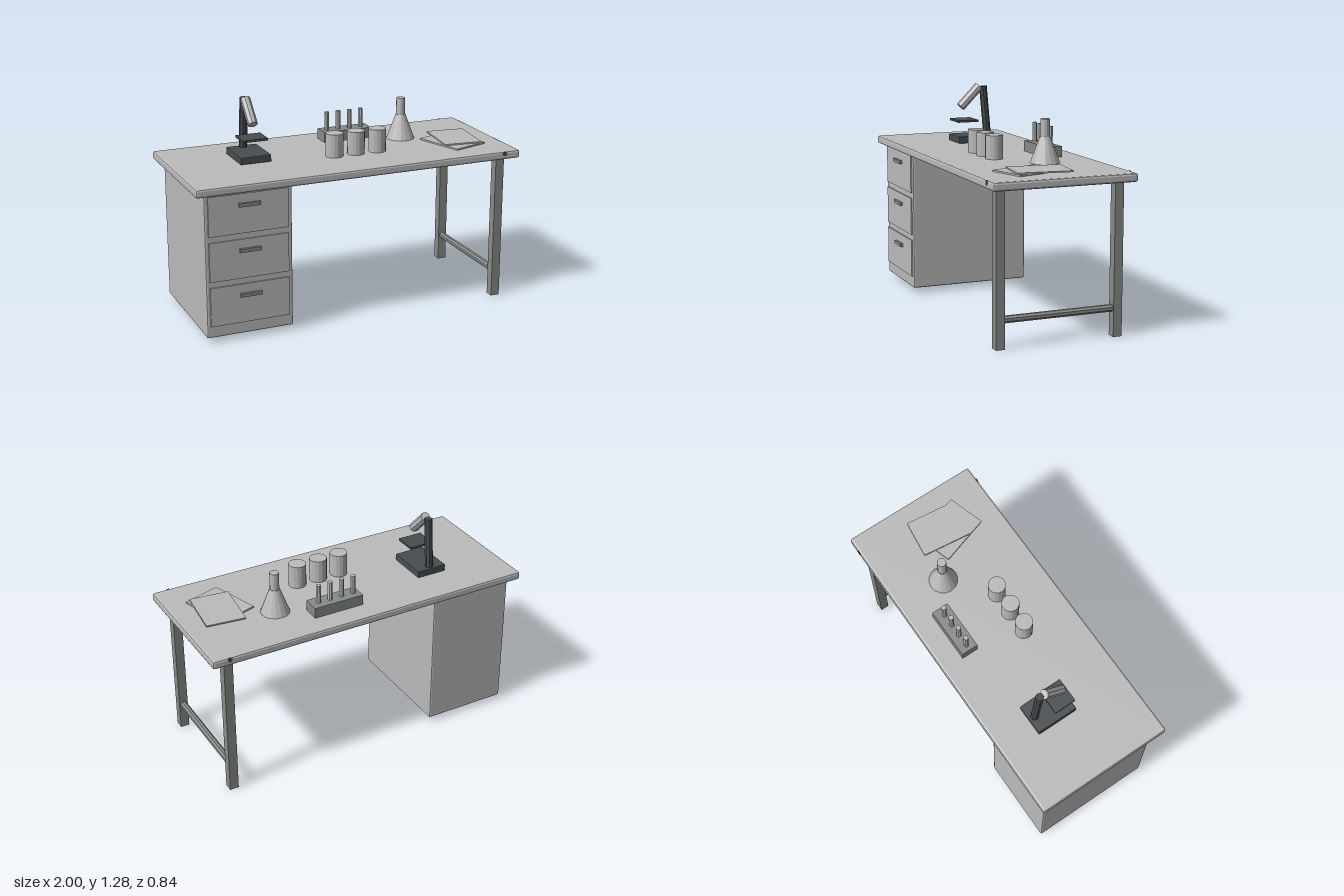
import * as THREE from 'three';
import { RoundedBoxGeometry } from 'three/addons/geometries/RoundedBoxGeometry.js';

export function createModel() {
  const desk = new THREE.Group();
  desk.name = 'labDesk';

  const material = (name, color) => {
    const m = new THREE.MeshStandardMaterial({ color });
    m.name = name;
    return m;
  };
  const light = material('lightGrey', 0xbbbbbb);
  const mid = material('midGrey', 0x888c88);
  const dark = material('darkGrey', 0x484d50);

  const add = (name, geometry, mat, x = 0, y = 0, z = 0) => {
    // unshared vertices give every facet its own normal
    const g = geometry.index ? geometry.toNonIndexed() : geometry;
    g.computeVertexNormals();
    const mesh = new THREE.Mesh(g, mat);
    mesh.name = name;
    mesh.position.set(x, y, z);
    desk.add(mesh);
    return mesh;
  };
  // Box given by its limits on each axis, with an optional bevel
  const box = (name, mat, [x0, x1], [y0, y1], [z0, z1], bevel = 0) => {
    const size = [x1 - x0, y1 - y0, z1 - z0];
    const g = bevel ? new RoundedBoxGeometry(...size, 1, bevel) : new THREE.BoxGeometry(...size);
    return add(name, g, mat, (x0 + x1) / 2, (y0 + y1) / 2, (z0 + z1) / 2);
  };
  // Upright cylinder or cone standing between two heights
  const upright = (name, mat, x, z, y0, y1, rTop, rBottom = rTop, sides = 16) =>
    add(name, new THREE.CylinderGeometry(rTop, rBottom, y1 - y0, sides), mat, x, (y0 + y1) / 2, z);
  // Cylinder between two points
  const rod = (name, mat, from, to, r, sides = 8) => {
    const a = new THREE.Vector3(...from), b = new THREE.Vector3(...to);
    const g = new THREE.CylinderGeometry(r, r, a.distanceTo(b), sides).rotateY(Math.PI / sides);
    const mesh = add(name, g, mat, ...a.clone().add(b).multiplyScalar(0.5).toArray());
    mesh.quaternion.setFromUnitVectors(new THREE.Vector3(0, 1, 0), b.sub(a).normalize());
    return mesh;
  };

  const top = 0.922;

  // Worktop
  box('worktop', light, [-1, 1], [0.873, top], [-0.42, 0.42], 0.012);

  // Drawer cabinet
  box('cabinet', light, [-0.945, -0.43], [0.03, 0.867], [-0.373, 0.373], 0.009);
  for (const y of [0.1, 0.365, 0.63]) {
    box('drawerFront', light, [-0.924, -0.454], [y, y + 0.23], [0.36, 0.381]);
    box('drawerHandle', mid, [-0.748, -0.622], [y + 0.156, y + 0.177], [0.375, 0.397]);
  }

  // Legs with their stretcher and the pin at each edge above
  for (const s of [-1, 1]) {
    box('leg', mid, [0.866, 0.92], [0, 0.867], s > 0 ? [0.323, 0.375] : [-0.375, -0.323]);
    rod('edgePin', dark, [0.9, 0.908, s * 0.415], [0.9, 0.908, s * 0.422], 0.014);
  }
  rod('stretcher', mid, [0.893, 0.16, -0.33], [0.893, 0.16, 0.33], 0.021);

  // Microscope
  const mx = -0.527;
  box('microscopeBase', dark, [-0.62, -0.434], [top, 0.964], [-0.187, 0.067], 0.004);
  box('microscopeStage', dark, [-0.602, -0.452], [1.05, 1.063], [-0.067, 0.067]);
  rod('microscopeColumn', dark, [mx, 0.955, -0.155], [mx, 1.265, -0.128], 0.024);
  rod('microscopeTube', light, [mx, 1.14, 0.023], [mx, 1.265, -0.1], 0.029);

  // Beakers
  for (const x of [-0.056, 0.081, 0.218]) upright('beaker', light, x, 0.1, top, 1.06, 0.052);

  // Test tube rack
  box('tubeRack', mid, [0, 0.31], [top, 0.985], [-0.287, -0.183]);
  for (let i = 0; i < 4; i++) {
    upright('testTube', light, 0.038 + i * 0.074, -0.235, 0.96, 1.097, 0.015, 0.015, 8);
  }

  // Conical flask
  upright('flaskBody', light, 0.47, -0.107, top, 1.07, 0.03, 0.085);
  upright('flaskNeck', light, 0.47, -0.107, 1.065, 1.172, 0.027, 0.027, 12);

  // Two overlapping stacks of paper
  box('lowerPapers', light, [0.6, 0.832], [top, 0.931], [-0.055, 0.259]).rotation.y = 0.307;
  box('upperPapers', light, [0.637, 0.869], [0.931, 0.939], [-0.103, 0.211]).rotation.y = -0.115;

  return desk;
}
